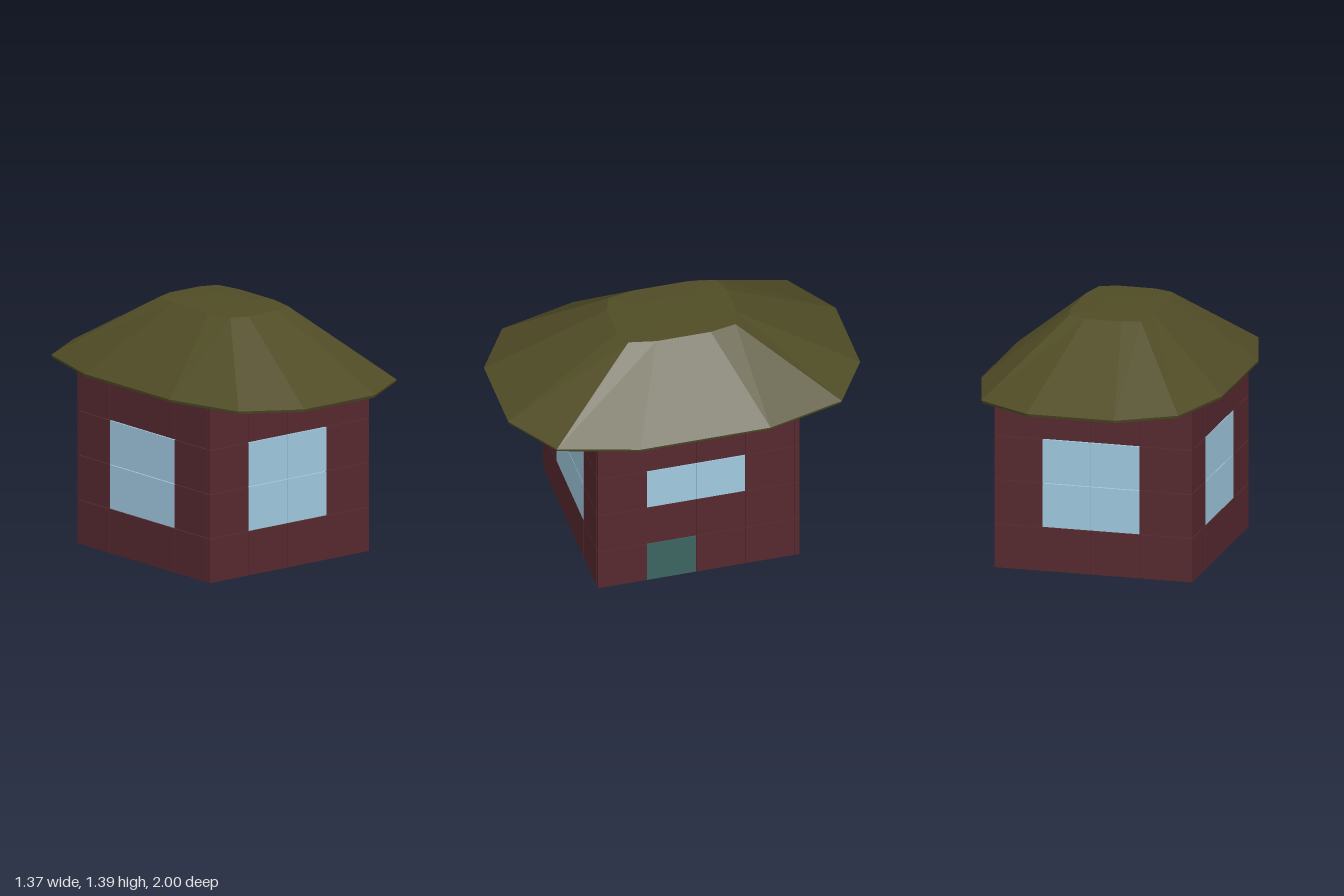
import * as THREE from 'three';

const mat = (color, side = THREE.FrontSide) => new THREE.MeshStandardMaterial({ color, flatShading: true, side });
const materials = {
  wall: mat(0x56292f),
  window: mat(0xa0c9e0),
  door: mat(0x3d6561),
};
const roofMaterial = mat(0x504c26, THREE.DoubleSide);

// Each wall is a 4 x 4 grid of thin panels, listed from the bottom row up.
const plainWall = ['####', '#WW#', '#WW#', '####'];
const doorWall = ['#D##', '####', '#WW#', '####'];
const kinds = { '#': 'wall', W: 'window', D: 'door' };

const GAP = 0.004, ROW = 0.251, THICK = 0.028;

function buildWall(name, rows, pitch) {
  const wall = new THREE.Group();
  wall.name = name;
  const panel = new THREE.BoxGeometry(pitch - GAP / 2, ROW - GAP, THICK);
  rows.forEach((row, j) => [...row].forEach((c, i) => {
    const mesh = new THREE.Mesh(panel, materials[kinds[c]]);
    mesh.name = kinds[c] + 'Panel';
    mesh.position.set((i + 0.5) * pitch, j * ROW + (ROW - GAP) / 2, 0);
    wall.add(mesh);
  }));
  return wall;
}

// Twelve-sided outline mirrored from one quadrant of three points.
function ring(quadrant, y, scale = 1) {
  const half = [...quadrant, ...quadrant.slice().reverse().map(([x, z]) => [-x, z])];
  return [...half, ...half.map(([x, z]) => [-x, -z])]
    .map(([x, z]) => [x * scale, y, z * scale]);
}

// Loft through the rings, bottom to top, closed at both ends.
function loft(rings) {
  const pos = [];
  const tri = (...pts) => pts.forEach(p => pos.push(...p));
  const n = rings[0].length;
  const last = rings[rings.length - 1];
  for (let i = 0; i < n; i++) {
    const k = (i + 1) % n;
    for (let r = 0; r < rings.length - 1; r++) {
      const lo = rings[r], hi = rings[r + 1];
      tri(lo[k], lo[i], hi[i]);
      tri(lo[k], hi[i], hi[k]);
    }
    tri([0, rings[0][0][1], 0], rings[0][i], rings[0][k]);
    tri([0, last[0][1], 0], last[k], last[i]);
  }
  const geo = new THREE.BufferGeometry();
  geo.setAttribute('position', new THREE.Float32BufferAttribute(pos, 3));
  geo.computeVertexNormals();
  return geo;
}

export function createModel() {
  const house = new THREE.Group();
  house.name = 'house';

  // Four walls overlapping in a pinwheel, so each end is covered by the next
  const walls = [
    ['frontWall', plainWall, 0.275, -0.57, 0.561],
    ['leftWall', doorWall, 0.279, 0.541, 0.575],
    ['backWall', plainWall, 0.275, 0.555, -0.556],
    ['rightWall', plainWall, 0.279, -0.556, -0.57],
  ];
  walls.forEach(([name, rows, pitch, x, z], i) => {
    const wall = buildWall(name, rows, pitch);
    wall.position.set(x, 0, z);
    wall.rotation.y = i * Math.PI / 2;
    house.add(wall);
  });

  // Overhanging hipped roof with a thin rim, bevelled underside and flat crown
  const eaves = [[0.685, 0.37], [0.56, 0.81], [0.25, 1]];
  const crown = [[0.235, 0.155], [0.205, 0.305], [0.105, 0.342]];
  const roof = new THREE.Mesh(loft([
    ring(eaves, 0.99, 0.82),
    ring(eaves, 1.0, 0.995),
    ring(eaves, 1.015),
    ring(crown, 1.387),
    ring(crown, 1.39, 0.5),
  ]), roofMaterial);
  roof.name = 'roof';
  house.add(roof);

  return house;
}
